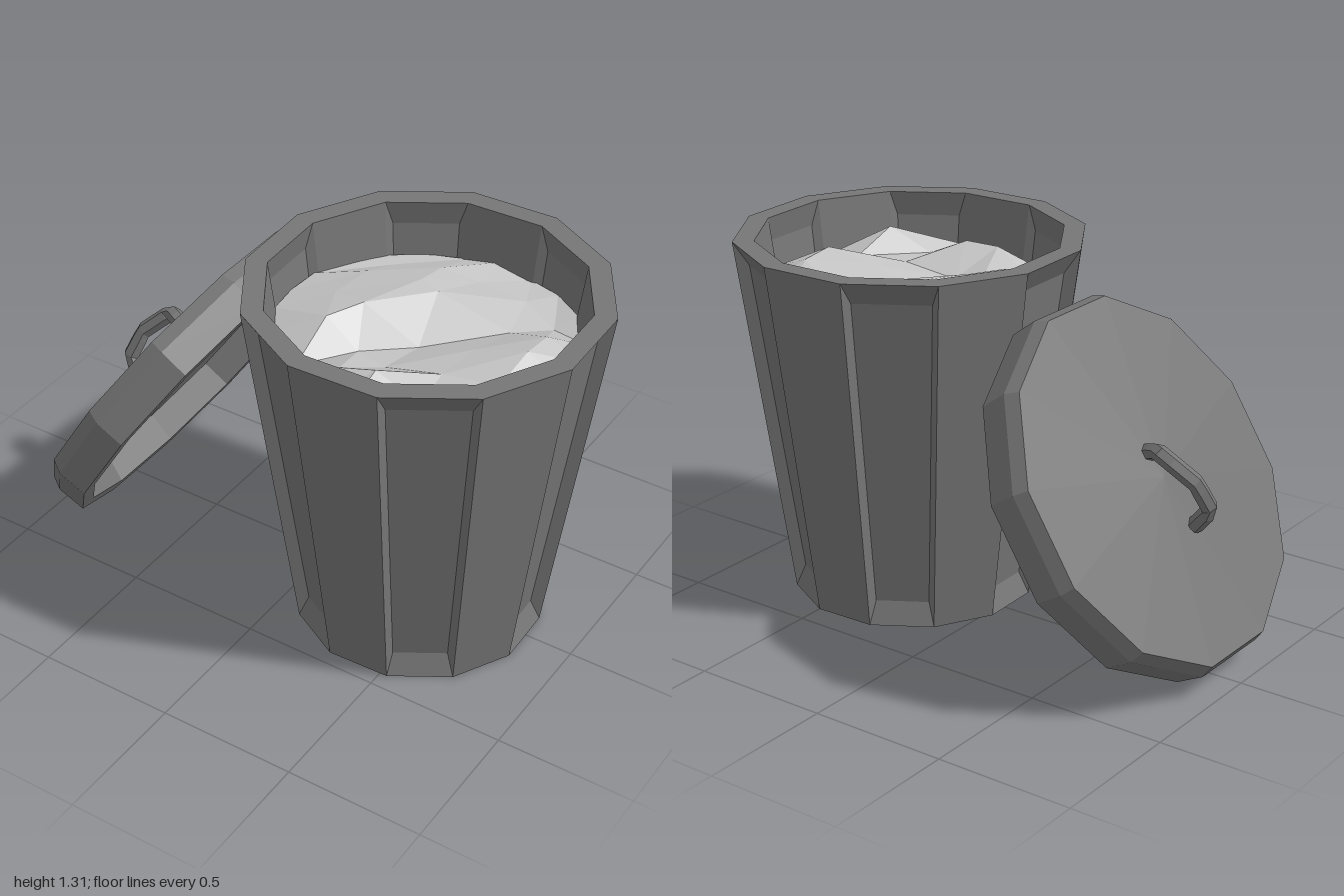
import * as THREE from 'three';

const SIDES = 12;

const canMat = new THREE.MeshStandardMaterial({ name: 'dark grey metal', color: 0x767676, flatShading: true, side: THREE.DoubleSide });
const trashMat = new THREE.MeshStandardMaterial({ name: 'light grey trash', color: 0xc4c4c4, flatShading: true, side: THREE.DoubleSide });

function add(parent, name, geometry, material) {
  const mesh = new THREE.Mesh(geometry, material);
  mesh.name = name;
  parent.add(mesh);
  return mesh;
}

// Turns a list of four-cornered faces into a faceted geometry
function quadGeometry(quads) {
  const points = quads.flatMap(([a, b, c, d]) => [a, b, c, a, c, d]);
  const geometry = new THREE.BufferGeometry().setFromPoints(points);
  geometry.computeVertexNormals();
  return geometry;
}

// Tapered twelve-sided wall; every other panel is pushed in by depth with bevelled borders
function panelledWall(y0, r0, y1, r1, border, depth) {
  const quads = [];
  const point = (angle, y) => {
    const r = r0 + (r1 - r0) * (y - y0) / (y1 - y0);
    return new THREE.Vector3(r * Math.cos(angle), y, r * Math.sin(angle));
  };
  for (let i = 0; i < SIDES; i++) {
    const mid = i * Math.PI / 6, a = mid + Math.PI / 12, b = mid - Math.PI / 12;
    const outer = [point(a, y0), point(b, y0), point(b, y1), point(a, y1)];
    if (i % 2) {
      quads.push(outer);
      continue;
    }
    const along = new THREE.Vector3(-Math.sin(mid), 0, Math.cos(mid));
    const inward = new THREE.Vector3(-Math.cos(mid), 0, -Math.sin(mid));
    const low = y0 + border, high = y1 - border;
    const inner = [point(a, low), point(b, low), point(b, high), point(a, high)];
    inner.forEach((p, k) => {
      p.addScaledVector(along, k === 0 || k === 3 ? -0.023 : 0.023).addScaledVector(inward, depth);
    });
    quads.push(inner);
    for (let k = 0; k < 4; k++) {
      const n = (k + 1) % 4;
      quads.push([outer[k], outer[n], inner[n], inner[k]]);
    }
  }
  return quadGeometry(quads);
}

// Crumpled surface: a square grid squeezed into a disc with seeded heights
function crumpledDisc(radius, cells) {
  let seed = 11;
  const random = () => (seed = (seed * 16807) % 2147483647) / 2147483647;
  for (let i = 0; i < 8; i++) random();
  const plane = new THREE.PlaneGeometry(2, 2, cells, cells).rotateX(-Math.PI / 2);
  const p = plane.attributes.position;
  for (let i = 0; i < p.count; i++) {
    let x = p.getX(i), z = p.getZ(i);
    const edge = Math.max(Math.abs(x), Math.abs(z)) > 0.99;
    if (!edge) {
      x += (random() - 0.5) * 0.2;
      z += (random() - 0.5) * 0.12;
    }
    const y = edge ? (random() - 0.5) * 0.04 - 0.02 : (random() - 0.5) * 0.13 + 0.02;
    p.setXYZ(i, radius * x * Math.sqrt(1 - z * z / 2), y, radius * z * Math.sqrt(1 - x * x / 2));
  }
  const geometry = plane.toNonIndexed();
  geometry.computeVertexNormals();
  return geometry;
}

function faceted(geometry) {
  const flat = geometry.toNonIndexed();
  flat.computeVertexNormals();
  return flat;
}

function lathe(profile) {
  const points = profile.map(([r, y]) => new THREE.Vector2(r, y));
  return faceted(new THREE.LatheGeometry(points, SIDES, Math.PI / 12));
}

function createBin() {
  const bin = new THREE.Group();
  bin.name = 'bin';
  add(bin, 'outerWall', panelledWall(0, 0.438, 1.31, 0.62, 0.083, 0.04), canMat);
  add(bin, 'innerWall', panelledWall(0.9, 0.487, 1.31, 0.544, 0.09, -0.025), canMat);
  add(bin, 'rim', lathe([[0.62, 1.31], [0.544, 1.31]]), canMat);
  add(bin, 'trash', crumpledDisc(0.525, 6), trashMat).position.y = 1.13;
  bin.position.set(0.4, 0, 0.022);
  bin.rotation.y = 0.03;
  return bin;
}

function createLid() {
  const lid = new THREE.Group();
  lid.name = 'lid';
  // Hollow shell: underside, lip, outer wall, chamfer and shallow cone
  const shell = add(lid, 'lidShell', lathe([
    [0, 0.145], [0.55, 0.11], [0.59, 0], [0.645, 0], [0.655, 0.11], [0.635, 0.16], [0, 0.188],
  ]), canMat);
  shell.scale.x = 1.02;

  // Bent six-sided handle with closed ends
  const path = new THREE.CurvePath();
  const bends = [
    [0.1, 0.13, -0.005], [0.09, 0.225, -0.025], [0.06, 0.268, -0.055],
    [-0.06, 0.3, -0.005], [-0.165, 0.275, 0.04], [-0.195, 0.18, 0.045],
  ].map((p) => new THREE.Vector3(...p));
  for (let i = 1; i < bends.length; i++) path.add(new THREE.LineCurve3(bends[i - 1], bends[i]));
  const handle = new THREE.Group();
  handle.name = 'handle';
  add(handle, 'handleBar', faceted(new THREE.TubeGeometry(path, 14, 0.03, 6, false)), canMat);
  for (const [end, next] of [[bends[0], bends[1]], [bends[5], bends[4]]]) {
    const cap = add(handle, 'handleEnd', new THREE.CircleGeometry(0.03, 6), canMat);
    cap.position.copy(end);
    cap.lookAt(end.clone().multiplyScalar(2).sub(next));
  }
  lid.add(handle);

  // Leans against the bin
  lid.position.set(-0.515, 0.567, 0);
  lid.rotation.z = 1.01;
  return lid;
}

export function createModel() {
  const model = new THREE.Group();
  model.name = 'trashCan';
  model.add(createBin(), createLid());
  return model;
}
